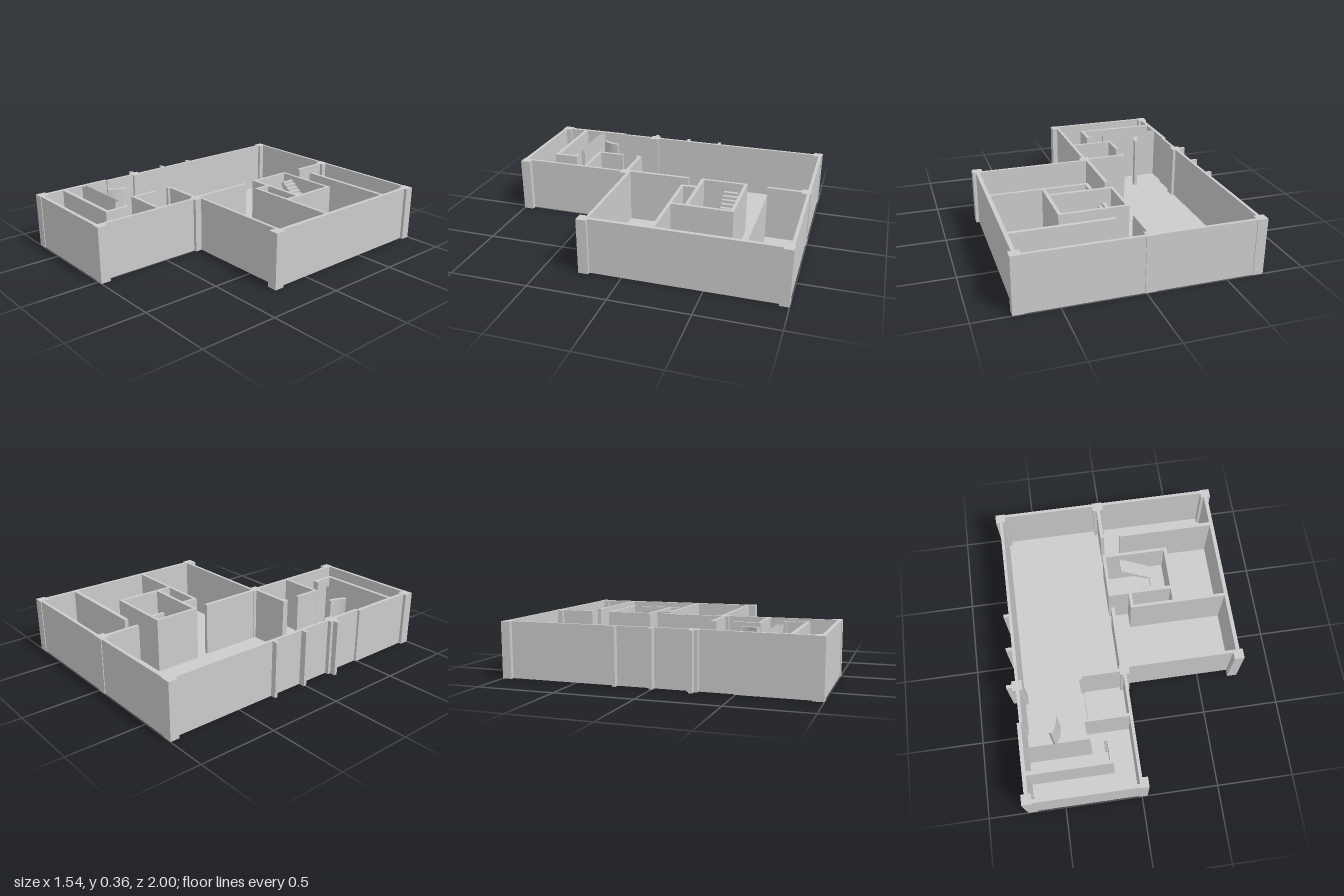
import * as THREE from 'three';

const H = 0.36;
const FLOOR = 0.01;

export function createModel() {
  const root = new THREE.Group();
  const mat = new THREE.MeshStandardMaterial({ color: 0xcccccc, flatShading: true });
  const openMat = new THREE.MeshStandardMaterial({ color: 0xcccccc, flatShading: true, side: THREE.DoubleSide });

  const add = (geo, name, parent = root, material = mat) => {
    const mesh = new THREE.Mesh(geo, material);
    mesh.name = name;
    parent.add(mesh);
    return mesh;
  };
  const group = (name) => {
    const g = new THREE.Group();
    g.name = name;
    root.add(g);
    return g;
  };
  // Box on a plan rectangle
  const block = (parent, name, [x0, x1, z0, z1], y0 = 0, y1 = H) =>
    add(new THREE.BoxGeometry(x1 - x0, y1 - y0, z1 - z0)
      .translate((x0 + x1) / 2, (y0 + y1) / 2, (z0 + z1) / 2), name, parent);
  // Plan outline (x, z) raised from the ground to a height
  const raise = (shape, height) =>
    new THREE.ExtrudeGeometry(shape, { depth: height, bevelEnabled: false, curveSegments: 12 })
      .rotateX(Math.PI / 2).translate(0, height, 0);
  const outline = (pts) => pts.map(([x, z]) => new THREE.Vector2(x, z));

  // Floor slab with a slot under the hollow partition
  const slot = [-0.70, -0.285, 0.655, 0.68];
  const plan = new THREE.Shape(outline([
    [-0.71, -0.995], [0.75, -0.995], [0.75, 0.225], [0, 0.225],
    [0, 0.995], [-0.725, 0.995], [-0.725, 0.49], [-0.71, 0.49],
  ]));
  plan.holes.push(new THREE.Path(outline([
    [slot[0], slot[2]], [slot[0], slot[3]], [slot[1], slot[3]], [slot[1], slot[2]],
  ])));
  add(raise(plan, FLOOR), 'floor');

  // Outer walls
  const outer = group('outerWalls');
  [
    [-0.71, 0.75, -0.995, -0.975],
    [0.725, 0.75, -0.995, 0.225],
    [0, 0.75, 0.205, 0.225],
    [-0.02, 0, 0.21, 0.995],
    [-0.725, 0, 0.972, 0.995],
    [-0.725, -0.70, 0.49, 0.995],
    [-0.71, -0.69, -0.995, 0.49],
  ].forEach((r) => block(outer, 'outerWall', r));

  // Corner and middle pillars
  const pillars = group('pillars');
  [
    [-0.735, -0.67, -1, -0.94],
    [-0.06, 0.01, -1, -0.94],
    [0.705, 0.77, -1, -0.94],
    [0.705, 0.77, 0.205, 0.27],
    [-0.04, 0.022, 0.205, 0.27],
    [-0.02, 0.035, 0.935, 1],
    [-0.745, -0.68, 0.935, 1],
    [-0.735, -0.67, 0.215, 0.28],
  ].forEach((r) => block(pillars, 'pillar', r));

  // Small fins outside the left-hand wall
  const fins = group('wallFins');
  [
    [-0.745, -0.70, -0.25, -0.23],
    [-0.75, -0.70, -0.015, 0.006],
    [-0.77, -0.73, 0.236, 0.258],
  ].forEach((r) => block(fins, 'wallFin', r));

  // Inner partitions
  const inner = group('partitions');
  [
    // central divider
    [-0.035, -0.012, -0.95, -0.72],
    [-0.035, -0.012, -0.20, 0.21],
    // rooms on the wide side
    [0.095, 0.73, -0.74, -0.715],
    [0.095, 0.73, -0.20, -0.18],
    // stair room and the closet beside it
    [-0.04, 0.40, -0.59, -0.57],
    [-0.04, -0.02, -0.59, -0.283],
    [0.378, 0.40, -0.59, -0.18],
    [-0.04, 0.40, -0.305, -0.283],
    [0.095, 0.117, -0.30, -0.18],
    // small room
    [-0.305, -0.01, 0.225, 0.248],
    [-0.305, -0.285, 0.225, 0.265],
    [-0.305, -0.285, 0.36, 0.545],
    [-0.305, -0.01, 0.525, 0.545],
    // front corridor
    [-0.71, -0.158, 0.80, 0.825],
    [-0.18, -0.158, 0.66, 0.825],
    [-0.20, -0.158, 0.66, 0.68],
  ].forEach((r) => block(inner, 'partition', r));

  // Hollow partition, open above and below
  add(new THREE.CylinderGeometry(Math.SQRT1_2, Math.SQRT1_2, H, 4, 1, true)
    .rotateY(Math.PI / 4)
    .scale(slot[1] - slot[0], 1, slot[3] - slot[2])
    .translate((slot[0] + slot[1]) / 2, H / 2, (slot[2] + slot[3]) / 2),
  'hollowPartition', inner, openMat);

  // Curved screen
  const arc = new THREE.Shape();
  arc.absarc(-0.66, 0.47, 0.185, 0, 0.7, false);
  arc.absarc(-0.66, 0.47, 0.162, 0.7, 0, true);
  add(raise(arc, H), 'curvedScreen');

  // Half-turn staircase: two flights with sloping undersides and a landing
  const stairs = group('staircase');
  const flight = (name, x0, y0, x1, y1, z0, z1, steps = 9) => {
    const run = (x1 - x0) / steps;
    const rise = (y1 - y0) / steps;
    const pts = [[x0, y0]];
    for (let i = 0; i < steps; i++) {
      pts.push([x0 + i * run, y0 + (i + 1) * rise], [x0 + (i + 1) * run, y0 + (i + 1) * rise]);
    }
    pts.push([x1, y1 - 0.03], [x0 + run, y0]);
    add(new THREE.ExtrudeGeometry(new THREE.Shape(outline(pts)), { depth: z1 - z0, bevelEnabled: false })
      .translate(0, 0, z0), name, stairs);
  };
  flight('lowerFlight', 0.02, 0, 0.27, 0.18, -0.40, -0.31);
  flight('upperFlight', 0.27, 0.18, 0.07, 0.34, -0.55, -0.46);
  block(stairs, 'landing', [0.27, 0.368, -0.55, -0.31], 0.15, 0.18);

  return root;
}
